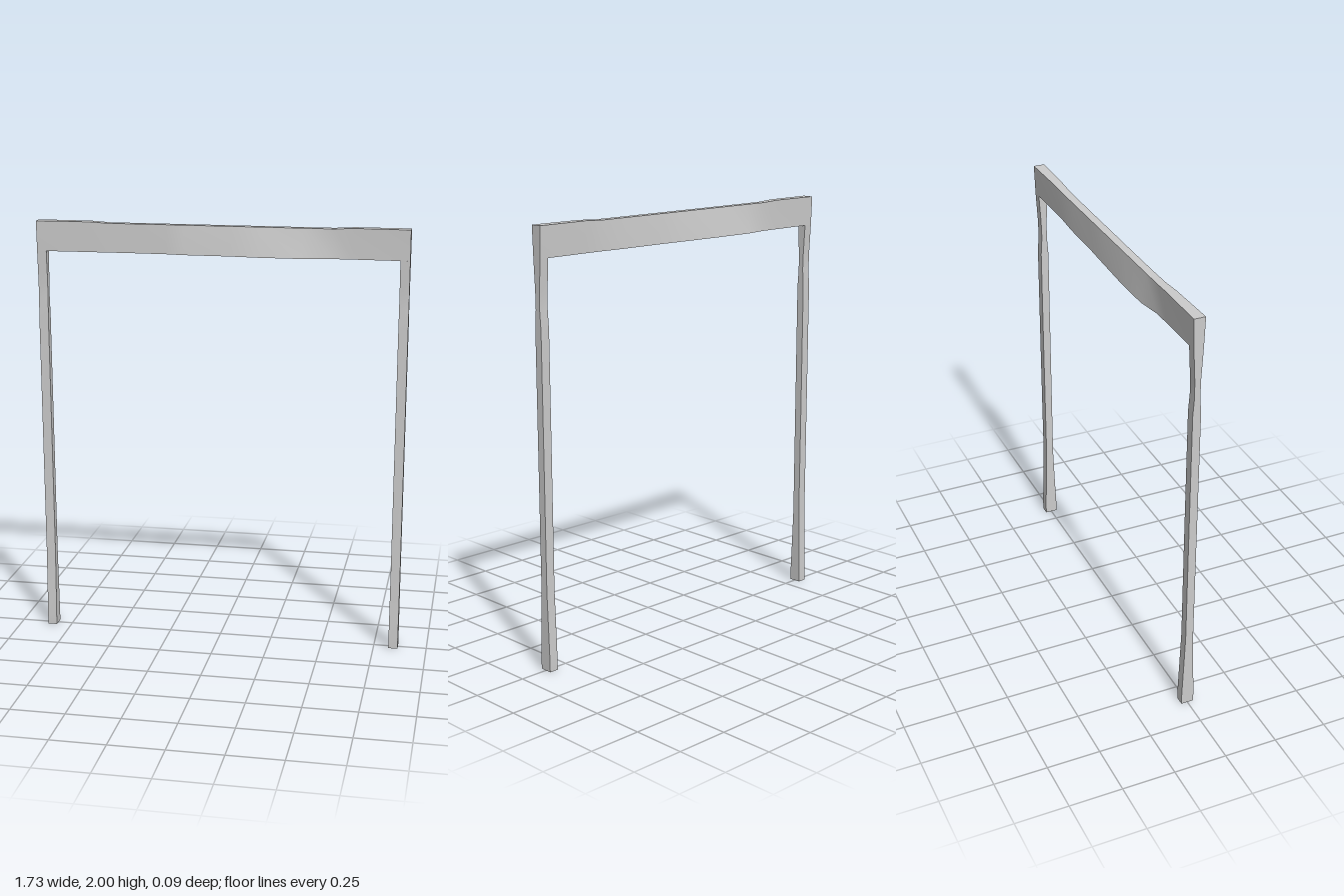
import * as THREE from 'three';

const material = new THREE.MeshStandardMaterial({ color: 0xcccccc, side: THREE.DoubleSide });

// Lofts four-cornered sections; each side is smooth along its length, with sharp edges between sides.
function loft(name, sections) {
  const positions = [], index = [];
  const n = sections.length;
  for (let k = 0; k < 4; k++) {
    const base = positions.length / 3;
    for (const s of sections) positions.push(...s[k], ...s[(k + 1) % 4]);
    for (let i = 0; i < n - 1; i++) {
      const a = base + i * 2;
      index.push(a, a + 1, a + 3, a, a + 3, a + 2);
    }
  }
  // End caps
  for (const corners of [[...sections[0]].reverse(), sections[n - 1]]) {
    const base = positions.length / 3;
    corners.forEach((c) => positions.push(...c));
    index.push(base, base + 1, base + 2, base, base + 2, base + 3);
  }
  const geometry = new THREE.BufferGeometry();
  geometry.setAttribute('position', new THREE.Float32BufferAttribute(positions, 3));
  geometry.setIndex(index);
  geometry.computeVertexNormals();
  const mesh = new THREE.Mesh(geometry, material);
  mesh.name = name;
  return mesh;
}

export function createModel() {
  const group = new THREE.Group();
  group.name = 'doorFrame';

  // Lintel: x, top y, top front z, top back z, bottom front z, bottom back z
  const lintel = [
    [-0.865, 2, 0.025, -0.029, 0.02, -0.024],
    [-0.61, 2, 0.018, -0.026, 0.015, -0.024],
    [-0.52, 1.995, 0.015, -0.024, 0.013, -0.025],
    [-0.4, 1.995, 0.013, -0.024, 0.012, -0.045],
    [-0.25, 1.995, 0.013, -0.024, 0.015, -0.045],
    [-0.17, 1.995, 0.013, -0.024, 0.027, -0.045],
    [0.05, 1.995, 0.014, -0.024, 0.029, -0.038],
    [0.18, 1.995, 0.014, -0.024, 0.042, -0.033],
    [0.38, 1.995, 0.015, -0.024, 0.042, -0.032],
    [0.52, 1.995, 0.016, -0.024, 0.018, -0.025],
    [0.61, 2, 0.018, -0.026, 0.017, -0.024],
    [0.865, 2, 0.025, -0.029, 0.02, -0.024],
  ];
  const low = 1.86;
  group.add(loft('lintel', lintel.map(([x, y, tf, tb, bf, bb]) =>
    [[x, y, tf], [x, low, bf], [x, low, bb], [x, y, tb]])));

  // Posts: y, front z, back z
  const post = [
    [0, 0.029, -0.03], [0.05, 0.03, -0.03], [0.2, 0.024, -0.025], [0.38, 0.018, -0.019],
    [1, 0.018, -0.02], [1.55, 0.018, -0.02], [1.64, 0.012, -0.014], [1.72, 0.013, -0.016],
    [low, 0.02, -0.024],
  ];
  for (const [name, x] of [['leftPost', 0.843], ['rightPost', -0.843]]) {
    const h = 0.022;
    group.add(loft(name, post.map(([y, f, b]) =>
      [[x + h, y, f], [x + h, y, b], [x - h, y, b], [x - h, y, f]])));
  }
  return group;
}
